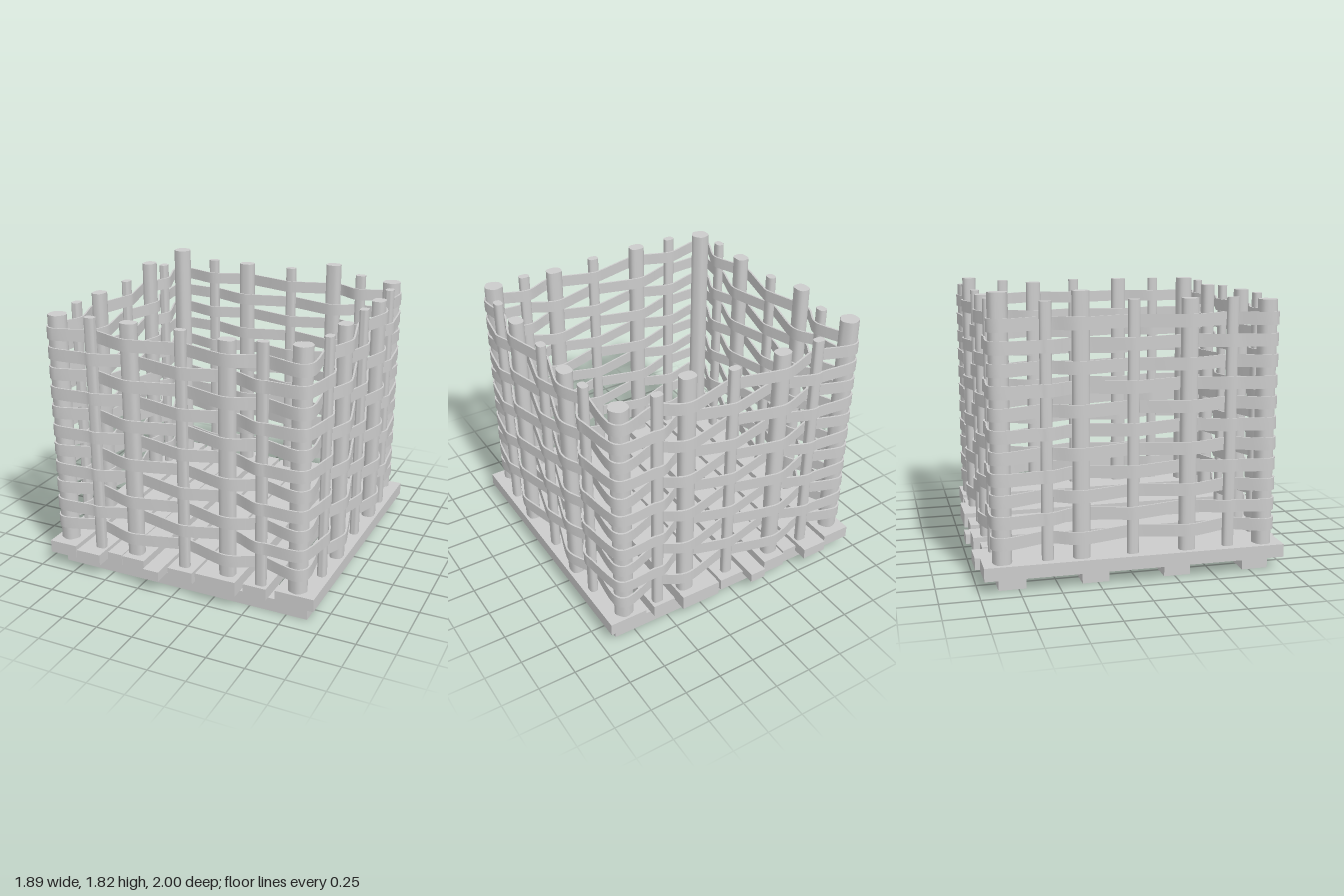
import * as THREE from 'three';
import { toCreasedNormals } from 'three/addons/utils/BufferGeometryUtils.js';

const material = new THREE.MeshStandardMaterial({ color: 0xcccccc });

// Planks: x from, x to, top, z from, z to
const PLANKS = [
  [-0.945, -0.745, 0.175, -0.97, 0.96], [-0.722, -0.545, 0.165, -1.0, 0.985],
  [-0.52, -0.413, 0.165, -0.93, 0.92], [-0.384, -0.222, 0.187, -0.97, 0.96],
  [-0.207, -0.095, 0.155, -1.0, 1.0], [-0.057, 0.12, 0.17, -0.95, 0.942],
  [0.152, 0.431, 0.19, -0.97, 0.96], [0.468, 0.625, 0.17, -0.925, 0.92],
  [0.684, 0.943, 0.175, -0.925, 0.915],
];

// Corner posts (x, z, top) in order around the crate
const CORNERS = [[-0.857, -0.847, 1.82], [0.808, -0.847, 1.745], [0.808, 0.837, 1.765], [-0.857, 0.837, 1.745]];

// Walls: outward direction, wall position, stake positions along the wall, index and top of the uneven stake
const WALLS = [
  { out: [0, -1], at: -0.873, along: [-0.598, -0.322, 0.033, 0.364, 0.57], odd: 3, top: 1.82 },
  { out: [1, 0], at: 0.88, along: [-0.567, -0.335, -0.025, 0.328, 0.603], odd: 1, top: 1.745 },
  { out: [0, 1], at: 0.867, along: [0.57, 0.342, 0.033, -0.322, -0.598], odd: 1, top: 1.745 },
  { out: [-1, 0], at: -0.867, along: [0.603, 0.328, -0.025, -0.354, -0.567], odd: 3, top: 1.82 },
];
const ROWS = 11, ROW_START = 0.309, ROW_STEP = 0.132;
const STRAP_HEIGHT = 0.08, STRAP_THICK = 0.012;

function box(name, x0, x1, y0, y1, z0, z1) {
  const mesh = new THREE.Mesh(new THREE.BoxGeometry(x1 - x0, y1 - y0, z1 - z0), material);
  mesh.position.set((x0 + x1) / 2, (y0 + y1) / 2, (z0 + z1) / 2);
  mesh.name = name;
  return mesh;
}

// Upright whose section follows radius(angle)
function post(name, x, z, top, sizeX, sizeZ, radius) {
  const bottom = 0.15, sides = 20;
  const outline = [];
  for (let i = 0; i < sides; i++) {
    const a = (i / sides) * Math.PI * 2, r = radius(a);
    outline.push(new THREE.Vector2(r * Math.cos(a) * sizeX / 2, r * Math.sin(a) * sizeZ / 2));
  }
  const geometry = new THREE.ExtrudeGeometry(new THREE.Shape(outline), { depth: top - bottom, bevelEnabled: false });
  geometry.rotateX(-Math.PI / 2);
  const mesh = new THREE.Mesh(toCreasedNormals(geometry, 0.8), material);
  mesh.position.set(x, bottom, z);
  mesh.name = name;
  return mesh;
}

// Corner posts are softly five-sided, stakes are rounded rectangles
const roundedPentagon = (a) => 1 + 0.04 * Math.cos(5 * a);
const roundedBox = (a) => (Math.abs(Math.cos(a)) ** 3 + Math.abs(Math.sin(a)) ** 3) ** (-1 / 3);

// Stakes alternate thin, thick, thin, thick, thin
const stakeSize = (i) => (i % 2 ? [0.106, 0.088] : [0.073, 0.056]);

function stakeSpot(wall, i) {
  return wall.out[0] ? [wall.at, wall.along[i]] : [wall.along[i], wall.at];
}

// Closed strap that wraps the corners and passes in and out of the stakes
function strapGeometry(phase) {
  const path = [];
  WALLS.forEach(({ out, at, along }, w) => {
    const [cx, cz] = CORNERS[w];
    const diagonal = Math.atan2(Math.sign(cz), Math.sign(cx));
    for (const turn of [-0.8, 0, 0.8]) {
      path.push(new THREE.Vector3(cx + 0.067 * Math.cos(diagonal + turn), 0, cz + 0.067 * Math.sin(diagonal + turn)));
    }
    along.forEach((_, i) => {
      const [x, z] = stakeSpot({ out, at, along }, i);
      const [wide, deep] = stakeSize(i);
      const side = i % 2 === phase ? 1 : -1;
      // Before, at and after the stake; the walk direction is the outward one turned a quarter
      for (const step of [-0.5, 0, 0.5]) {
        const offset = side * (deep / 2 + STRAP_THICK / 2) * (step ? 0.82 : 1);
        const shift = step * wide;
        path.push(new THREE.Vector3(x + out[0] * offset - out[1] * shift, 0, z + out[1] * offset + out[0] * shift));
      }
    });
  });
  const curve = new THREE.CatmullRomCurve3(path, true, 'centripetal');
  const count = path.length * 4;
  const outer = [], inner = [];
  for (let i = 0; i < count; i++) {
    const p = curve.getPoint(i / count), t = curve.getTangent(i / count);
    const nx = t.z * STRAP_THICK / 2, nz = -t.x * STRAP_THICK / 2;
    outer.push(new THREE.Vector2(p.x + nx, -(p.z + nz)));
    inner.push(new THREE.Vector2(p.x - nx, -(p.z - nz)));
  }
  // The hole runs opposite to the outline so that its walls face inward
  const shape = new THREE.Shape(outer);
  shape.holes.push(new THREE.Path(inner.reverse()));
  const geometry = new THREE.ExtrudeGeometry(shape, { depth: STRAP_HEIGHT, bevelEnabled: false });
  geometry.rotateX(-Math.PI / 2);
  return toCreasedNormals(geometry, 0.7);
}

export function createModel() {
  const model = new THREE.Group();
  model.name = 'wovenCrate';

  // Pallet base: skids across, planks front to back
  const base = new THREE.Group();
  base.name = 'base';
  for (const z of [-0.79, -0.263, 0.267, 0.792]) {
    base.add(box('skid', -0.873, 0.89, 0, 0.09, z - 0.086, z + 0.086));
  }
  for (const [x0, x1, top, z0, z1] of PLANKS) base.add(box('plank', x0, x1, 0.09, top, z0, z1));
  model.add(base);

  // Upright posts and stakes
  const uprights = new THREE.Group();
  uprights.name = 'uprights';
  for (const [x, z, top] of CORNERS) uprights.add(post('cornerPost', x, z, top, 0.122, 0.122, roundedPentagon));
  for (const wall of WALLS) {
    wall.along.forEach((_, i) => {
      const [x, z] = stakeSpot(wall, i);
      const [wide, deep] = stakeSize(i);
      const top = i === wall.odd ? wall.top : 1.762;
      uprights.add(post('stake', x, z, top, wall.out[0] ? deep : wide, wall.out[0] ? wide : deep, roundedBox));
    });
  }
  model.add(uprights);

  // Woven straps, alternating row by row
  const weave = new THREE.Group();
  weave.name = 'weave';
  const straps = [strapGeometry(1), strapGeometry(0)];
  for (let row = 0; row < ROWS; row++) {
    const strap = new THREE.Mesh(straps[row % 2], material);
    strap.position.y = ROW_START + row * ROW_STEP - STRAP_HEIGHT / 2;
    strap.name = 'strap';
    weave.add(strap);
  }
  model.add(weave);
  return model;
}
